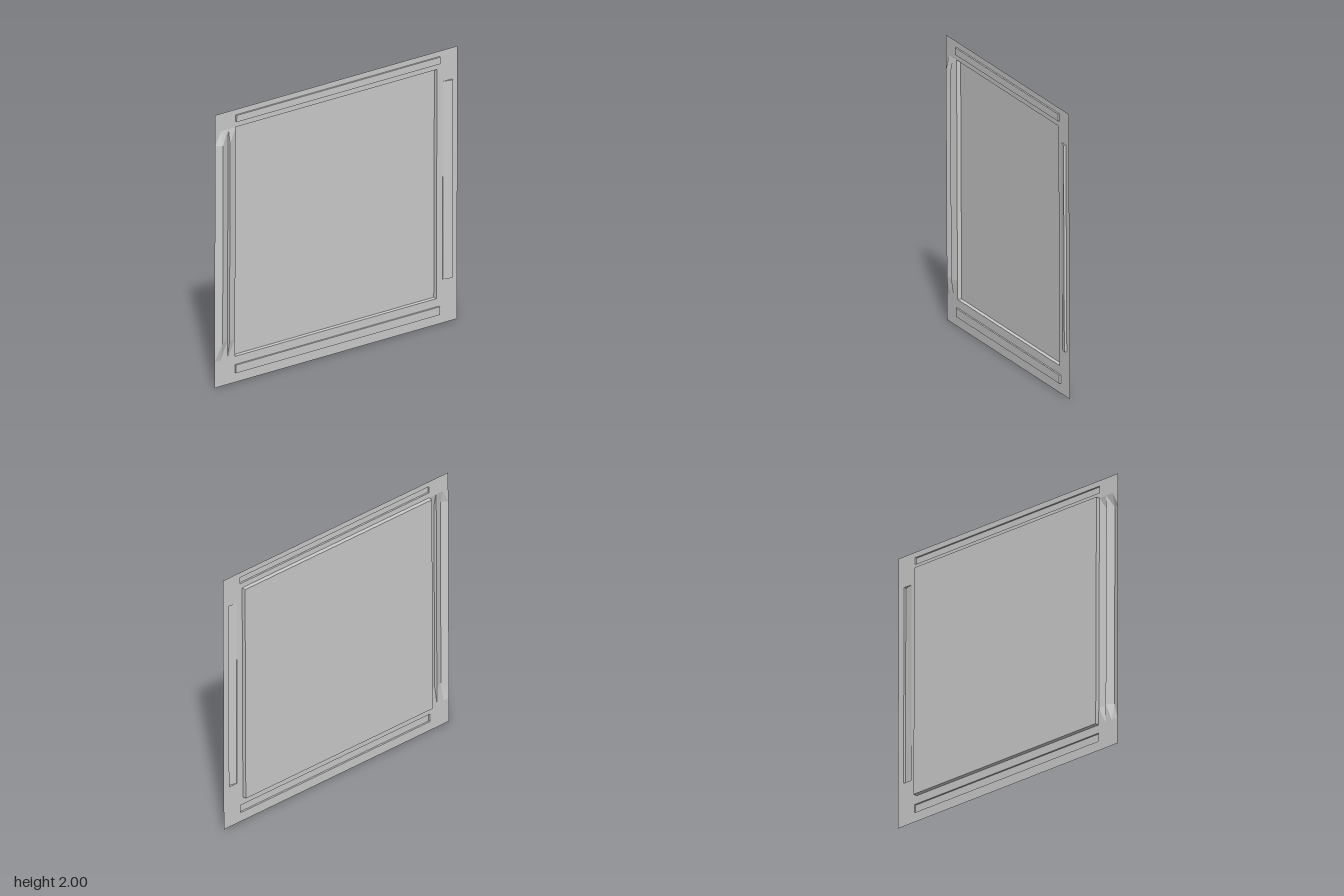
import * as THREE from 'three';

// Everything is laid out flat as (u, y, height) with u = -z, then turned to face +x
const material = new THREE.MeshStandardMaterial({
  color: 0xcccccc, flatShading: true, side: THREE.DoubleSide,
});
const LEAN = 0.0045;

function finish(geometry, name) {
  geometry.rotateY(Math.PI / 2);
  // The whole panel leans slightly towards +x at the top
  const p = geometry.attributes.position;
  for (let i = 0; i < p.count; i++) p.setX(i, p.getX(i) - 0.002 + LEAN * p.getY(i));
  geometry.computeVertexNormals();
  const mesh = new THREE.Mesh(geometry, material);
  mesh.name = name;
  return mesh;
}

function fromQuads(quads) {
  const pos = [];
  for (const [a, b, c, d] of quads) pos.push(...a, ...b, ...c, ...a, ...c, ...d);
  const g = new THREE.BufferGeometry();
  g.setAttribute('position', new THREE.Float32BufferAttribute(pos, 3));
  return g;
}

const corners = ([u0, u1, y0, y1]) => [[u0, y0], [u1, y0], [u1, y1], [u0, y1]];

// Pressed tray: a floor with its own height at each corner, plus four walls
function tray(rect, heights, name) {
  const base = corners(rect).map(([u, y]) => [u, y, 0]);
  const top = base.map(([u, y], i) => [u, y, heights[i]]);
  const quads = [top];
  for (let i = 0; i < 4; i++) {
    const j = (i + 1) % 4;
    quads.push([base[i], base[j], top[j], top[i]]);
  }
  return finish(fromQuads(quads), name);
}

export function createModel() {
  const group = new THREE.Group();
  group.name = 'panel';

  const pane = [-0.83, 0.83, 0.19, 1.87];
  const topBar = [-0.83, 0.85, 1.91, 1.96];
  const bottomBar = [-0.83, 0.85, 0.07, 0.13];
  const handle = [0.88, 0.95, 0.32, 1.77];

  // Thin frame sheet, open where the pane and the pressed parts sit
  const sheet = new THREE.Shape([
    [-1, 0], [1, 0], [1, 2], [-1, 2], [-1, 1.87], [0.83, 1.87], [0.83, 0.19], [-1, 0.19],
  ].map(([u, y]) => new THREE.Vector2(u, y)));
  for (const rect of [topBar, bottomBar, handle]) {
    sheet.holes.push(new THREE.Path(corners(rect).map(([u, y]) => new THREE.Vector2(u, y)).reverse()));
  }
  group.add(finish(new THREE.ShapeGeometry(sheet).toNonIndexed(), 'frameSheet'));

  // Sunken pane, raised bars and the wedge-shaped side ridge
  group.add(tray(pane, [-0.03, -0.03, -0.03, -0.03], 'recessedPane'));
  group.add(tray(topBar, [0.012, 0.012, 0.012, 0.012], 'topBar'));
  group.add(tray(bottomBar, [0.012, 0.012, 0.012, 0.012], 'bottomBar'));
  group.add(tray(handle, [0.005, 0.018, 0.018, 0], 'sideWedge'));

  // Sawtooth ribs on the +z side, fading into the sheet at both ends
  const profile = [[-1, 0], [-0.95, 0.024], [-0.893, 0], [-0.89, 0.02], [-0.83, 0]];
  const stations = [[0.19, 0], [0.32, 1], [1.77, 1], [1.87, 0]];
  const quads = [];
  for (let i = 0; i < profile.length - 1; i++) {
    for (let j = 0; j < stations.length - 1; j++) {
      const at = (a, b) => [profile[a][0], stations[b][0], profile[a][1] * stations[b][1]];
      quads.push([at(i, j), at(i + 1, j), at(i + 1, j + 1), at(i, j + 1)]);
    }
  }
  group.add(finish(fromQuads(quads), 'sawtoothRibs'));
  return group;
}
